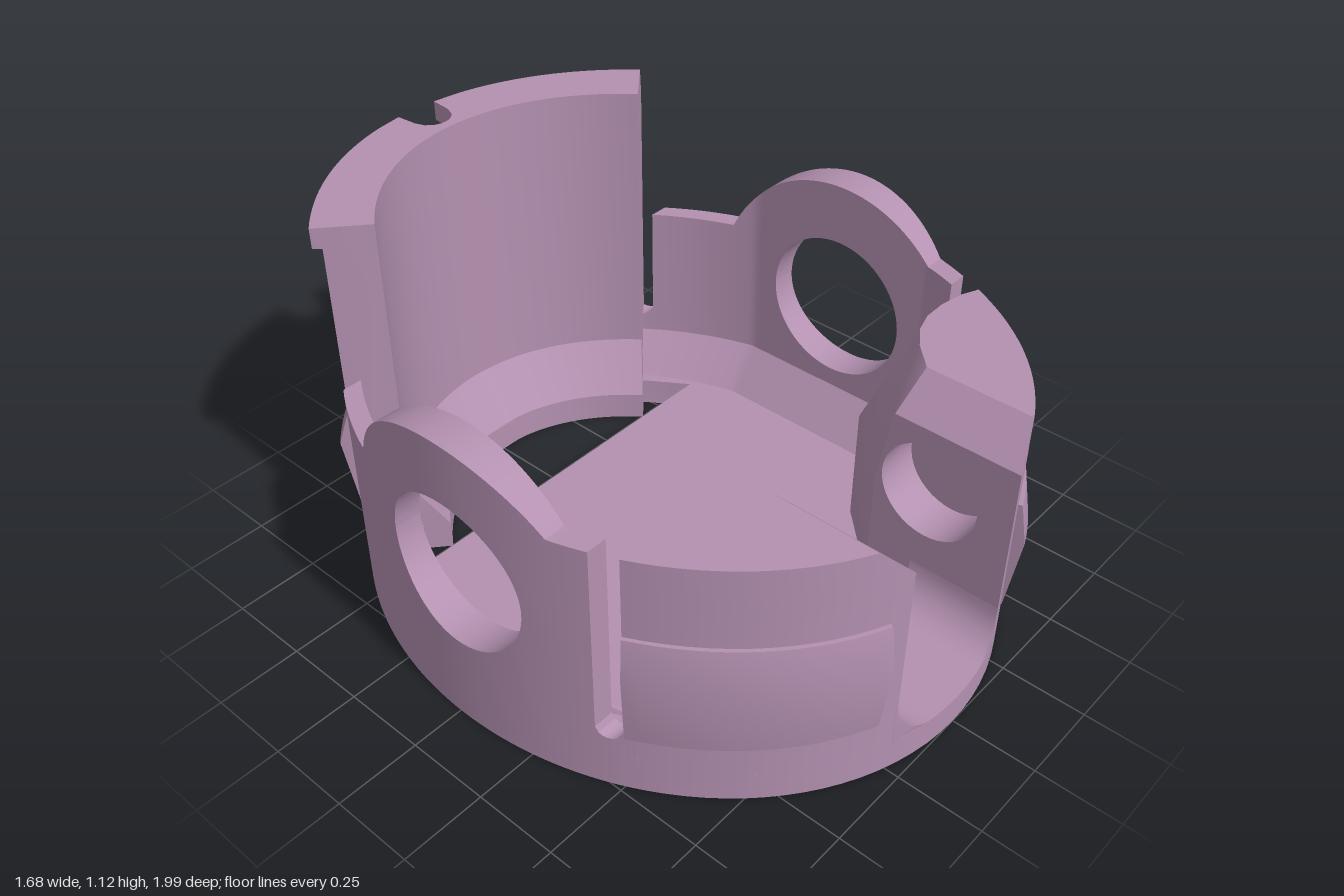
import * as THREE from 'three';
import { toCreasedNormals } from 'three/addons/utils/BufferGeometryUtils.js';

const RX = 0.84, RZ = 0.9775, CZ = 0.0225, FLOOR = 0.09;
const range = (a, b, n) => Array.from({ length: n + 1 }, (_, i) => a + (b - a) * i / n);
const lerp = THREE.MathUtils.lerp;
const rad = THREE.MathUtils.degToRad;
// outline of the oval body
const outX = (z) => RX * Math.sqrt(Math.max(0, 1 - ((z - CZ) / RZ) ** 2));
const outZ = (x) => CZ + RZ * Math.sqrt(Math.max(0, 1 - (x / RX) ** 2));

// skin a row of equal rings and cap both ends; project maps a point to 2D for the caps
function loft(rings, project, skip = () => false) {
  const tris = [], n = rings[0].length;
  for (let i = 0; i < rings.length - 1; i++) {
    for (let j = 0; j < n; j++) {
      if (skip(i, j)) continue;
      const k = (j + 1) % n;
      const a = rings[i][j], b = rings[i][k], c = rings[i + 1][k], d = rings[i + 1][j];
      tris.push([a, b, c], [a, c, d]);
    }
  }
  [rings[0], rings[rings.length - 1]].forEach((ring, end) => {
    const flat = ring.map((p) => new THREE.Vector2(...project(p)));
    const ccw = !THREE.ShapeUtils.isClockWise(flat);
    const order = ring.map((_, i) => (ccw ? i : n - 1 - i));
    THREE.ShapeUtils.triangulateShape(order.map((i) => flat[i]), []).forEach((f) => {
      const t = f.map((i) => ring[order[i]]);
      tris.push((end === 1) === ccw ? t : t.reverse());
    });
  });
  // turn the skin outward
  const ref = new THREE.Vector3(...rings[0][0]);
  let volume = 0;
  for (const t of tris) {
    const [a, b, c] = t.map((p) => new THREE.Vector3(...p).sub(ref));
    volume += a.dot(b.cross(c));
  }
  if (volume < 0) tris.forEach((t) => t.reverse());
  const geo = new THREE.BufferGeometry();
  geo.setAttribute('position', new THREE.Float32BufferAttribute(tris.flat(2), 3));
  return toCreasedNormals(geo, 0.45);
}

export function createModel() {
  const model = new THREE.Group();
  const mauve = new THREE.MeshStandardMaterial({ color: 0xb491b1, side: THREE.DoubleSide });
  mauve.name = 'mauve';
  const add = (parent, name, geo) => {
    const mesh = new THREE.Mesh(geo, mauve);
    mesh.name = name;
    parent.add(mesh);
    return mesh;
  };

  // floor: oval plate with a rear notch and a D-shaped opening
  const plate = new THREE.Shape();
  const t0 = Math.asin(0.065 / RX);
  range(t0, Math.PI * 2 - t0, 96).forEach((t, i) => {
    const x = RX * Math.sin(t), y = RZ * Math.cos(t) - CZ;
    if (i) plate.lineTo(x, y); else plate.moveTo(x, y);
  });
  plate.lineTo(-0.065, 0.925);
  plate.absarc(0, 0.925, 0.065, Math.PI, Math.PI * 2, false);
  plate.holes.push(new THREE.Path([
    [-0.57, 0.42], [0.57, 0.42], [0.49, 0.54], [0.36, 0.66], [0.3, 0.66], [0.18, 0.72],
    [-0.18, 0.72], [-0.3, 0.66], [-0.36, 0.66], [-0.49, 0.54],
  ].map((p) => new THREE.Vector2(...p))));
  const floor = new THREE.ExtrudeGeometry(plate, { depth: FLOOR, bevelEnabled: false });
  add(model, 'floor', toCreasedNormals(floor.rotateX(-Math.PI / 2), 0.45));

  // rear wall: profile carried around the back of the oval
  const rearSection = (t, scales) => {
    const ring = [[0, 0], [0.17, 1], [0.42, 2], [0.54, 3], [1.06, 4], [1.06, 5], [1.12, 5]].map(([y, i]) =>
      [RX * scales[i] * Math.sin(t), y, CZ - RZ * scales[i] * Math.cos(t)]);
    const inner = [[1.12, 0], [0.24, 0], [FLOOR, 0.105], [0, 0.105]].map(([y, d]) =>
      [(0.69 - d) * Math.sin(t), y, CZ - (0.8525 - d) * Math.cos(t)]);
    return ring.concat(inner);
  };
  const radial = (p) => [Math.hypot(p[0], p[2]), p[1]];
  // thin web behind the rear groove
  add(model, 'rearGroove', loft(range(-1, 1, 12).map((u) => {
    const s = 0.969 - 0.066 * Math.sqrt(1 - u * u);
    return rearSection(u * t0, [s, s, s, s, s, s]);
  }), radial));

  for (const side of [1, -1]) {
    const half = new THREE.Group();
    half.name = side > 0 ? 'leftHalf' : 'rightHalf';
    half.scale.x = side;
    model.add(half);

    // rear wall with bulge, top lip and a tapering rib beside the groove
    const angles = [t0, ...range(t0 + rad(5), rad(46), 18)];
    add(half, 'rearWall', loft(angles.map((t, i) =>
      rearSection(t, [1, 1, 1.042, i ? 1 : 1.035, 1, 1.03])), radial));

    // side wall pieces, built as columns along z
    const wall = (name, zs, low, high) => add(half, name, loft(zs.map((z) => {
      const xo = outX(z), xi = Math.min(0.735, xo - 0.06);
      const lo = low(z), hi = high(z), foot = lo < 0.01 ? 0.1 : 0;
      return [[xo, lo, z], [xo, hi, z], [xi, hi, z],
        [xi, foot ? Math.min(0.22, hi - 0.005) : lerp(lo, hi, 0.5), z],
        [xi - foot, foot ? FLOOR : lerp(lo, hi, 0.25), z], [xi - foot, lo, z]];
    }), (p) => [p[0], p[1]]));
    const HZ = 0.02, HY = 0.51, HR = 0.23;
    const crown = (z) => Math.max(z > HZ ? 0.785 : 0.66,
      HY + Math.sqrt(Math.max(0, 0.415 ** 2 - (z - HZ) ** 2)));
    const holeHalf = (z) => Math.sqrt(Math.max(0, HR * HR - (z - HZ) ** 2));
    const holeZ = range(0, Math.PI, 32).map((a) => HZ - HR * Math.cos(a));
    const ground = () => 0;
    wall('sideWallRear', [...range(-0.6, -0.367, 8), ...range(-0.35, HZ - HR, 8)], ground, crown);
    wall('sideWallBelowHole', holeZ, ground, (z) => HY - holeHalf(z));
    wall('sideWallAboveHole', holeZ, (z) => HY + holeHalf(z), crown);
    wall('sideWallFront', [...range(HZ + HR, 0.33, 6), ...range(0.345, 0.43, 4)], ground, crown);
    // rounded bottoms of the two slits
    const slit = (zc, r, y) => (z) => y + r - Math.sqrt(Math.max(0, r * r - (z - zc) ** 2));
    wall('rearSlitBase', range(-0.7, -0.58, 12), ground, slit(-0.635, 0.036, 0.28));
    wall('frontSlitBase', range(0.42, 0.53, 12), ground, slit(0.465, 0.036, 0.17));

    // front block: stacked outlines, flaring towards the floor
    const base = [[0.23, 0.54], [0.32, 0.447], [0.41, 0.355], [0.49, 0.355], [0.57, 0.355], [0.66, 0.435], [0.733, 0.5]];
    const top = [[0.33, 0.6], [0.4, 0.53], [0.465, 0.487], [0.53, 0.467], [0.6, 0.465], [0.68, 0.478], [0.733, 0.5]];
    const a0 = Math.acos(0.733 / RX);
    const outline = ([y, t, xin]) => {
      const rear = base.map((b, k) => [k ? lerp(b[0], top[k][0], t) : xin, y, lerp(b[1], top[k][1], t)]);
      const outer = range(a0, Math.acos(xin / RX), 14).slice(1, -1).map((a) =>
        [RX * Math.cos(a), y, CZ + RZ * Math.sin(a)]);
      return [[xin, y, outZ(xin)], ...rear, ...outer];
    };
    const levels = [[0, 0, 0.23], [0.45, 0, 0.23], [0.68, 0.69, 0.23], [0.785, 1, 0.33]];
    add(half, 'frontBlock', loft(levels.map(outline), (p) => [p[0], p[2]], (i, j) => j === 0 && i < 2));

    // inner cheek of the block with its round socket
    const cheek = new THREE.Shape([[-0.54, 0], [-0.54, 0.45], [-0.581, 0.68], [-outZ(0.23), 0.68], [-outZ(0.23), 0]]
      .map((p) => new THREE.Vector2(...p)));
    cheek.holes.push(new THREE.Path().absarc(-0.71, 0.48, 0.15, 0, Math.PI * 2));
    const cheekGeo = new THREE.ShapeGeometry(cheek, 20).rotateY(Math.PI / 2);
    add(half, 'frontBlockCheek', cheekGeo).position.x = 0.23;
    const tube = new THREE.CylinderGeometry(0.15, 0.15, 0.14, 40, 1, true).rotateZ(Math.PI / 2);
    add(half, 'socketWall', tube).position.set(0.3, 0.48, 0.71);
    const disc = new THREE.CircleGeometry(0.15, 40).rotateY(-Math.PI / 2);
    add(half, 'socketEnd', disc).position.set(0.37, 0.48, 0.71);

    // raised grip band on the block
    add(half, 'gripBand', loft(range(a0, Math.acos(0.283 / RX), 16).map((a) =>
      [[0.98, 0.54], [1.012, 0.54], [1.035, 0.415], [1.003, 0.185], [0.98, 0.185]].map(([s, y]) =>
        [RX * s * Math.cos(a), y, CZ + RZ * s * Math.sin(a)])), radial));

    // rounded fillet along the front channel
    const fillet = [[0.235, FLOOR - 0.01], [0.235, 0.22], ...range(0, Math.PI / 2, 8).map((a) =>
      [0.1 + 0.13 * Math.cos(a), 0.22 - 0.13 * Math.sin(a)]), [0.1, FLOOR - 0.01]];
    add(half, 'channelFillet', loft([0, 1].map((e) =>
      fillet.map(([x, y]) => [x, y, e ? outZ(x) : 0.68])), (p) => [p[0], p[1]]));
  }
  return model;
}
